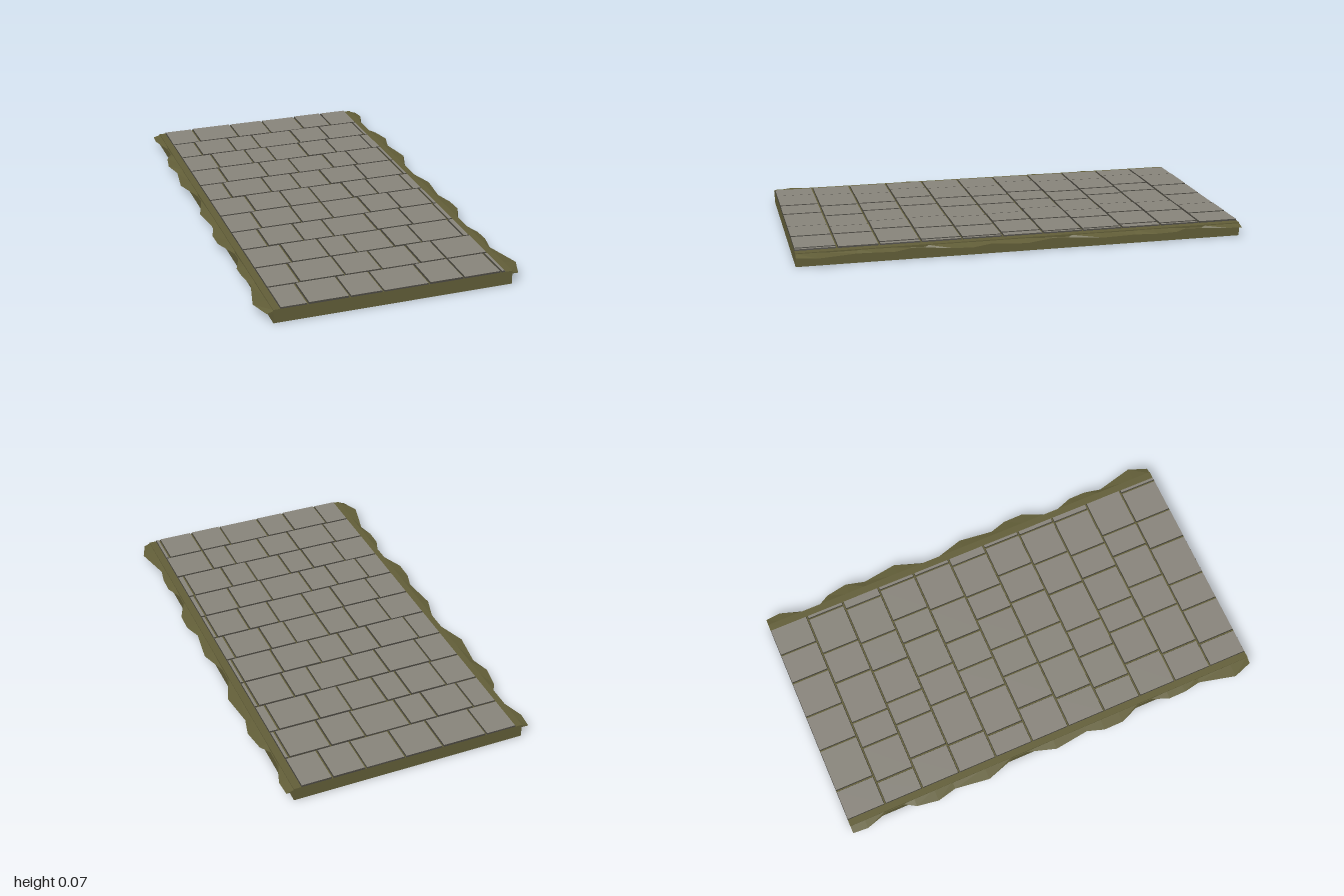
import * as THREE from 'three';

const moss = new THREE.MeshStandardMaterial({ name: 'mossyEarth', color: 0x625e38 });
const fringeMat = new THREE.MeshStandardMaterial({ name: 'mossFringe', color: 0x625e38, flatShading: true, side: THREE.DoubleSide });
const stone = new THREE.MeshStandardMaterial({ name: 'greyStone', color: 0x88847b });
const joint = new THREE.MeshStandardMaterial({ name: 'darkStoneEdge', color: 0x45433c });

const BASE_TOP = 0.061;

// x positions of the seams in each row, back to front
const SEAMS = [
  [-0.355, -0.15, 0.025, 0.205, 0.355],
  [-0.39, -0.215, -0.085, 0.125, 0.285, 0.475],
  [-0.35, -0.175, -0.06, 0.11, 0.26, 0.45],
  [-0.36, -0.155, 0, 0.18, 0.305, 0.475],
  [-0.39, -0.195, -0.05, 0.1, 0.285, 0.475],
  [-0.33, -0.16, -0.015, 0.15, 0.275, 0.45],
  [-0.355, -0.165, -0.015, 0.165, 0.315, 0.475],
  [-0.38, -0.215, -0.075, 0.13, 0.3, 0.47],
  [-0.33, -0.16, -0.035, 0.14, 0.27, 0.465],
  [-0.355, -0.155, 0.01, 0.185, 0.305],
  [-0.38, -0.2, -0.055, 0.15, 0.305, 0.475],
];

// Outline of the ragged verge: [z, x]
const VERGE = [
  [-1, 0.56], [-0.93, 0.565], [-0.82, 0.53], [-0.74, 0.53], [-0.69, 0.56], [-0.59, 0.577],
  [-0.5, 0.555], [-0.34, 0.577], [-0.2, 0.53], [-0.13, 0.53], [0, 0.57], [0.16, 0.55],
  [0.24, 0.575], [0.33, 0.575], [0.44, 0.53], [0.5, 0.53], [0.58, 0.56], [0.66, 0.56],
  [0.74, 0.545], [0.91, 0.587], [1, 0.555],
];

// Paving stone whose top is slightly smaller than its foot
function pavingStone(x0, x1, z0, z1, height) {
  const geo = new THREE.BoxGeometry(x1 - x0, height, z1 - z0);
  const p = geo.attributes.position;
  for (let i = 0; i < p.count; i++) {
    if (p.getY(i) > 0) {
      p.setX(i, p.getX(i) - Math.sign(p.getX(i)) * 0.002);
      p.setZ(i, p.getZ(i) - Math.sign(p.getZ(i)) * 0.002);
    }
  }
  geo.computeVertexNormals();
  const mesh = new THREE.Mesh(geo, [joint, joint, stone, joint, joint, joint]);
  mesh.position.set((x0 + x1) / 2, BASE_TOP + height / 2, (z0 + z1) / 2);
  mesh.name = 'pavingStone';
  return mesh;
}

// Thin wedge of moss hanging over one long edge
function verge(side) {
  const pos = [], idx = [];
  VERGE.forEach(([z, x], i) => {
    pos.push(side * 0.522, 0.058, z, side * x, 0.047 + 0.003 * (i % 2), z, side * 0.522, 0.048, z);
    if (i === 0) return;
    for (let k = 0; k < 3; k++) {
      const a = (i - 1) * 3 + k, b = (i - 1) * 3 + (k + 1) % 3, c = a + 3, d = b + 3;
      if (side > 0) idx.push(a, c, b, b, c, d);
      else idx.push(a, b, c, b, d, c);
    }
  });
  const n = (VERGE.length - 1) * 3;
  idx.push(0, 1, 2, n, n + 2, n + 1);
  const geo = new THREE.BufferGeometry();
  geo.setAttribute('position', new THREE.Float32BufferAttribute(pos, 3));
  geo.setIndex(idx);
  geo.computeVertexNormals();
  const mesh = new THREE.Mesh(geo, fringeMat);
  mesh.name = side > 0 ? 'leftVerge' : 'rightVerge';
  return mesh;
}

export function createModel() {
  const group = new THREE.Group();
  group.name = 'pavedPath';

  // Earth bed
  const bed = new THREE.Mesh(new THREE.BoxGeometry(1.055, BASE_TOP, 2), moss);
  bed.position.y = BASE_TOP / 2;
  bed.name = 'earthBed';
  group.add(bed);

  // Staggered rows of stones
  const paving = new THREE.Group();
  paving.name = 'paving';
  const pitch = 2 / SEAMS.length, gap = 0.003;
  SEAMS.forEach((seams, r) => {
    const xs = [-0.5, ...seams, 0.497];
    const z0 = -1 + r * pitch;
    for (let i = 0; i < xs.length - 1; i++) {
      const height = 0.006 + 0.001 * ((r * 3 + i * 2) % 3);
      const back = r === 0 ? 0 : gap, front = r === SEAMS.length - 1 ? 0 : gap;
      paving.add(pavingStone(xs[i] + gap, xs[i + 1] - gap, z0 + back, z0 + pitch - front, height));
    }
  });
  group.add(paving);

  // Ragged verges
  group.add(verge(1), verge(-1));
  return group;
}
